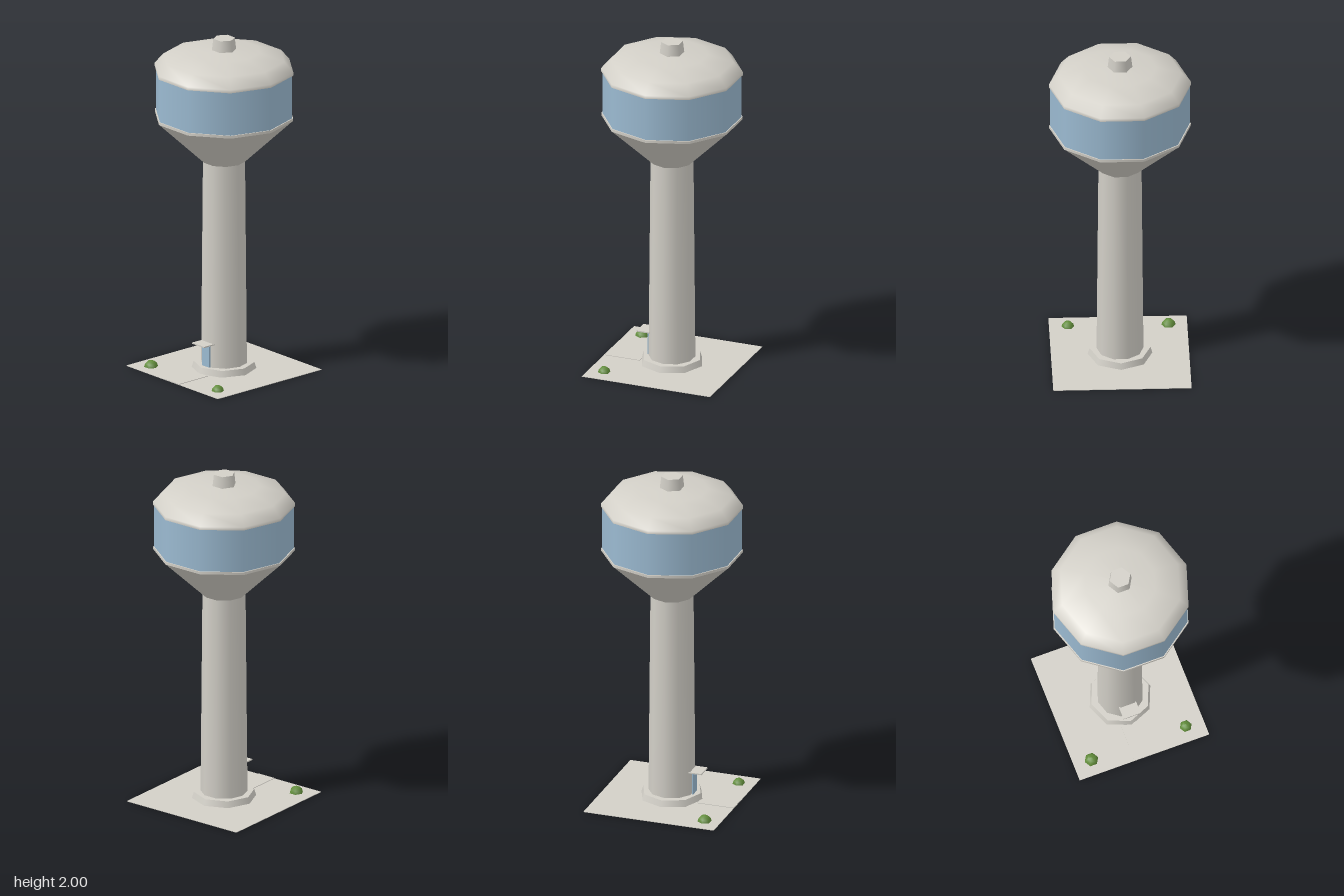
import * as THREE from 'three';

const concrete = new THREE.MeshStandardMaterial({ color: 0xd2cfc7 });
concrete.name = 'concrete';
const bluePaint = new THREE.MeshStandardMaterial({ color: 0x9bbad1 });
bluePaint.name = 'blue paint';
const leafGreen = new THREE.MeshStandardMaterial({ color: 0x628d3b });
leafGreen.name = 'leaf green';

export function createModel() {
  const tower = new THREE.Group();
  tower.name = 'waterTower';

  function add(name, geometry, material, x = 0, y = 0, z = 0) {
    const mesh = new THREE.Mesh(geometry, material);
    mesh.name = name;
    mesh.position.set(x, y, z);
    tower.add(mesh);
    return mesh;
  }

  // Turned part with a corner on the x axis; profile is [radius, height], bottom to top
  function turned(name, profile, sides, material, x, y, z) {
    const points = profile.map(([r, h]) => new THREE.Vector2(r, h));
    return add(name, new THREE.LatheGeometry(points, sides, Math.PI / 2), material, x, y, z);
  }

  function box(name, w, h, d, material, x, y, z) {
    return add(name, new THREE.BoxGeometry(w, h, d), material, x, y, z);
  }

  // Ground slab and front path
  box('ground', 0.795, 0.003, 0.795, concrete, 0, 0.0015, 0);
  box('path', 0.12, 0.003, 0.22, concrete, 0, 0.0045, 0.287);

  // Octagonal footing
  turned('footing', [[0.187, 0], [0.175, 0.04]], 8, concrete);
  turned('footingTop', [[0.175, 0.04], [0, 0.04]], 8, concrete);

  // Shaft
  turned('shaft', [[0.135, 0.03], [0.124, 1.262]], 10, concrete);

  // Tank: funnel, lower ring, painted band, rim underside, domed roof
  turned('tankFunnel', [[0.124, 1.26], [0.405, 1.527]], 10, concrete);
  turned('lowerRing', [[0.407, 1.527], [0.407, 1.543]], 10, concrete);
  turned('lowerRingTop', [[0.407, 1.543], [0.395, 1.543]], 10, concrete);
  turned('tankBand', [[0.401, 1.54], [0.401, 1.803]], 10, bluePaint);
  turned('rimUnderside', [[0.395, 1.802], [0.408, 1.802]], 10, concrete);
  turned('roof', [[0.408, 1.802], [0.408, 1.822], [0.355, 1.882], [0.21, 1.924], [0, 1.935]], 10, concrete);

  // Roof vent
  turned('vent', [[0.072, 1.925], [0.063, 2]], 6, concrete);
  turned('ventCap', [[0.063, 2], [0, 2]], 6, concrete);

  // Door and canopy
  box('door', 0.06, 0.126, 0.009, bluePaint, 0, 0.103, 0.136);
  box('canopy', 0.105, 0.007, 0.078, concrete, 0, 0.181, 0.159);

  // Bushes
  for (const [x, r] of [[-0.29, 0.041], [0.289, 0.036]]) {
    const profile = [[r, 0], [r * 0.87, r * 0.47], [r * 0.5, r * 0.8], [0, r * 0.92]];
    turned('bush', profile, 6, leafGreen, x, 0.003, 0.303);
  }

  return tower;
}
